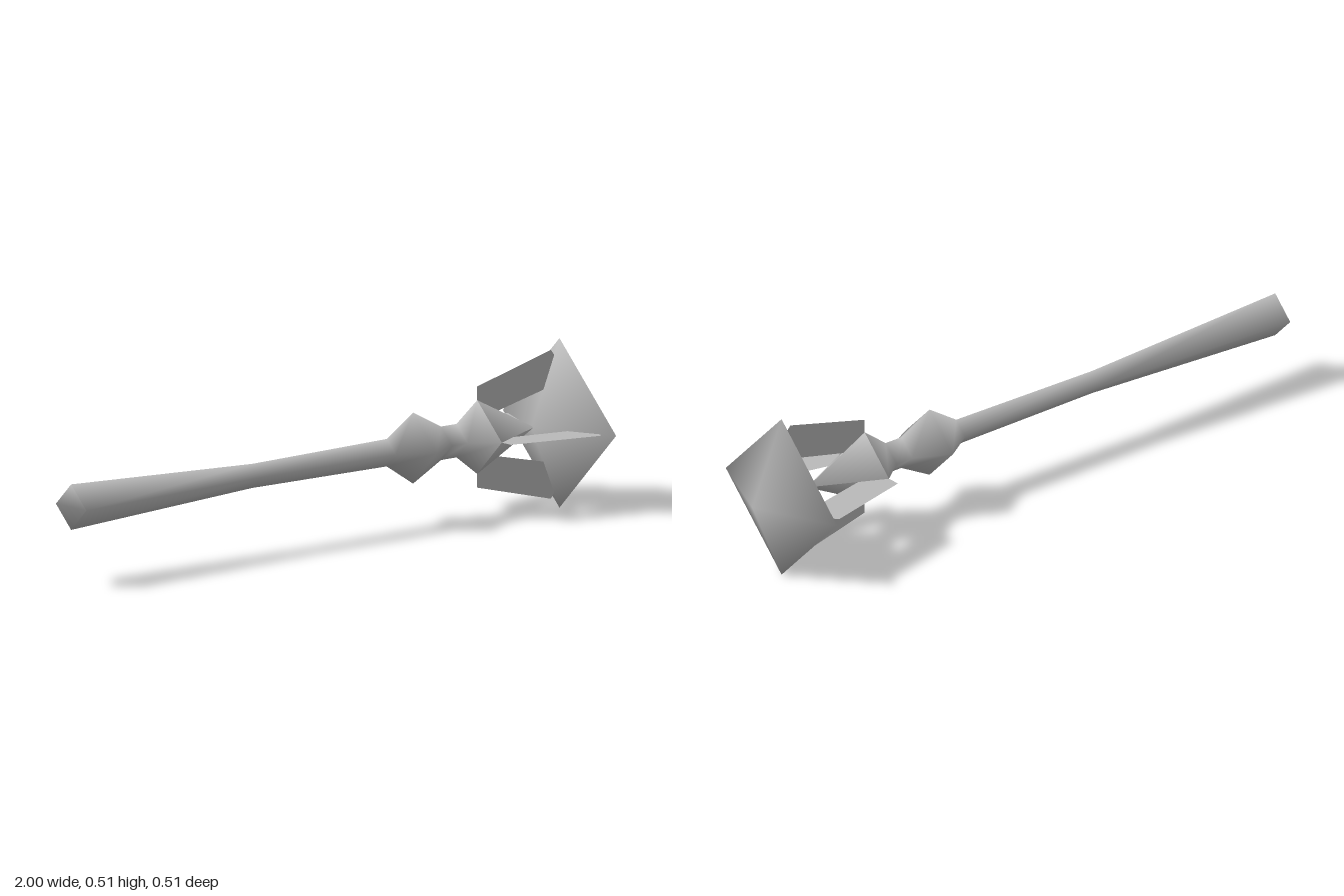
import * as THREE from 'three';

export function createModel() {
  const group = new THREE.Group();
  const steel = new THREE.MeshStandardMaterial({ color: 0xbababa, side: THREE.DoubleSide });
  steel.name = 'grey steel';

  const weapon = new THREE.Group();
  weapon.name = 'mace';
  weapon.position.y = 0.253;
  group.add(weapon);

  function addPart(name, geometry) {
    const mesh = new THREE.Mesh(geometry, steel);
    mesh.name = name;
    weapon.add(mesh);
    return mesh;
  }

  // Four-sided form along x from [x, corner radius] points, in order of rising x
  function squareForm(profile) {
    const points = profile.map(([x, r]) => new THREE.Vector2(r, x));
    return new THREE.LatheGeometry(points, 4).rotateZ(-Math.PI / 2);
  }

  // Smooth normals: corners point outward with a lean along x, tips point along x
  function softenNormals(geometry, lean, middleX) {
    const { position, normal } = geometry.attributes;
    const n = new THREE.Vector3();
    for (let i = 0; i < position.count; i++) {
      n.set(0, position.getY(i), position.getZ(i));
      if (n.length() < 0.01) n.set(Math.sign(position.getX(i) - middleX), 0, 0);
      else n.setLength(Math.sqrt(1 - lean * lean)).setX(lean);
      normal.setXYZ(i, n.x, n.y, n.z);
    }
    return geometry;
  }

  const shapeFrom = (points) => new THREE.Shape(points.map(([x, y]) => new THREE.Vector2(x, y)));

  // Handle with knob and flared collar
  addPart('handle', squareForm([
    [-1, 0.068], [-0.3, 0.036], [0.22, 0.041], [0.322, 0.106],
    [0.43, 0.05], [0.49, 0.05], [0.57, 0.11],
  ]));
  addPart('collarSpike', squareForm([[0.57, 0.11], [0.79, 0]]));

  // Square handle end, blended softly into the sides
  const endShape = shapeFrom([[0.068, 0], [0, 0.068], [-0.068, 0], [0, -0.068]]);
  const endGeometry = new THREE.ShapeGeometry(endShape).rotateY(-Math.PI / 2).translate(-1, 0, 0);
  addPart('handleEnd', softenNormals(endGeometry, -0.1, 0));

  // Double-pointed head
  const headGeometry = squareForm([[0.78, 0], [0.888, 0.253], [1, 0]]);
  addPart('head', softenNormals(headGeometry, -0.43, 0.888));

  // Four flat fins joining the collar to the head
  const finGeometry = new THREE.ShapeGeometry(shapeFrom([
    [0.57, 0.05], [0.86, 0.115], [0.872, 0.2], [0.855, 0.222], [0.57, 0.151],
  ]));
  for (let i = 0; i < 4; i++) {
    addPart('fin' + (i + 1), finGeometry).rotation.x = i * Math.PI / 2;
  }

  return group;
}
